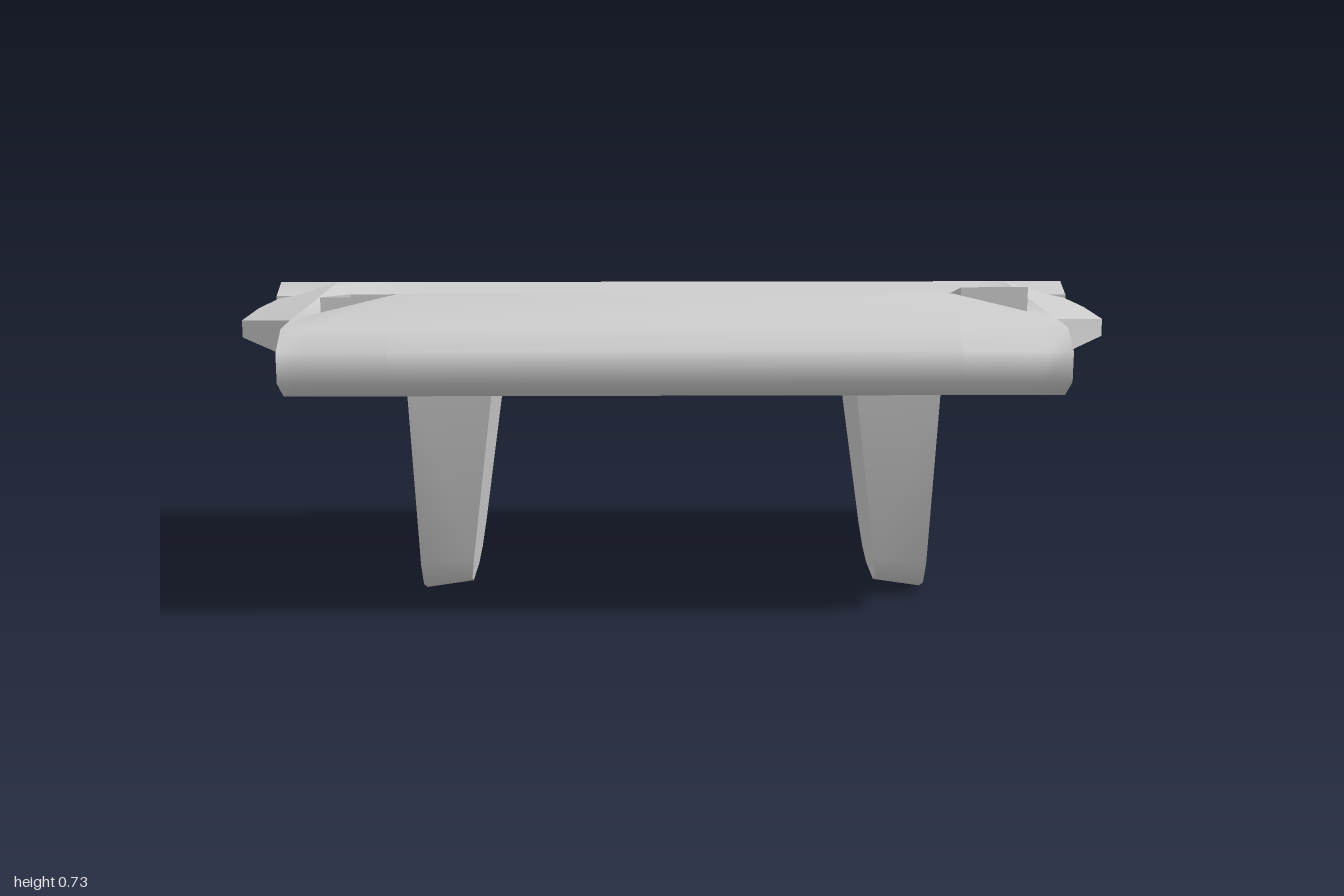
import * as THREE from 'three';
import { toCreasedNormals } from 'three/addons/utils/BufferGeometryUtils.js';

const grey = new THREE.MeshStandardMaterial({ color: 0xcccccc });
const greyOpen = new THREE.MeshStandardMaterial({ color: 0xcccccc, side: THREE.DoubleSide });

// Skin a row of closed rings of [x, y, z]; u and v are the axes the end caps are flattened to.
function loft(rings, { u = 2, v = 1, caps = true, mirror = false, crease = 0.6 } = {}) {
  const pos = [];
  const tri = (a, b, c) => {
    for (const p of mirror ? [a, c, b] : [a, b, c]) pos.push(mirror ? -p[0] : p[0], p[1], p[2]);
  };
  for (let i = 0; i < rings.length - 1; i++) {
    const r = rings[i], s = rings[i + 1], n = r.length;
    for (let j = 0; j < n; j++) {
      const k = (j + 1) % n;
      tri(r[j], s[j], s[k]);
      tri(r[j], s[k], r[k]);
    }
  }
  if (caps) {
    const cap = (ring, flip) => {
      const flat = ring.map((p) => new THREE.Vector2(p[u], p[v]));
      for (const [a, b, c] of THREE.ShapeUtils.triangulateShape(flat, [])) {
        if (flip) tri(ring[a], ring[c], ring[b]);
        else tri(ring[a], ring[b], ring[c]);
      }
    };
    cap(rings[0], false);
    cap(rings[rings.length - 1], true);
  }
  const geometry = new THREE.BufferGeometry();
  geometry.setAttribute('position', new THREE.Float32BufferAttribute(pos, 3));
  return toCreasedNormals(geometry, crease);
}

// Board section at x: rounded front edge, raised ridge, shallow dip behind it
function boardRing(x, ridge, dip) {
  return [
    [-0.365, 0.515], [0.365, 0.515], [0.43, 0.555], [0.43, 0.62], [0.365, 0.66],
    [0.25, ridge], [-0.05, dip], [-0.25, dip], [-0.365, 0.66],
  ].map(([z, y]) => [x, y, z]);
}

// Bar section along the back edge
function barRing(x) {
  return [
    [-0.365, 0.515], [-0.3, 0.555], [-0.3, 0.635], [-0.365, 0.66], [-0.427, 0.625], [-0.427, 0.553],
  ].map(([z, y]) => [x, y, z]);
}

// Leg: a tapered cup, open on its outer side, its foot rising a little inwards
const legOuter = [
  [-0.08, 0], [0.06, 0], [0.12, 0.025], [0.15, 0.08], [0.21, 0.52],
  [-0.235, 0.52], [-0.175, 0.08], [-0.145, 0.025],
];
const legInner = [
  [-0.065, 0.028], [0.04, 0.028], [0.1, 0.05], [0.13, 0.11], [0.187, 0.52],
  [-0.21, 0.52], [-0.155, 0.11], [-0.12, 0.05],
];
function legGeometry(mirror) {
  const rim = (y) => 0.575 + 0.03 * y;
  const back = (y) => 0.467 - 0.13 * y;
  const ring = (outline, x, lift = 0) =>
    outline.map(([z, y]) => [x(y), y + lift * (1 - y / 0.52), z]);
  return loft([
    ring(legOuter, back, 0.016), ring(legOuter, rim), ring(legInner, rim),
    ring(legInner, (y) => back(y) + 0.02, 0.005),
  ], { mirror, crease: 0.75 });
}

// Sloping wing: [x, z, top height]
const wingOutline = [
  [0.83, -0.365, 0.66], [0.96, -0.31, 0.63], [1, -0.23, 0.615], [1, -0.04, 0.615], [0.83, 0.25, 0.66],
];
function wingGeometry(mirror) {
  return loft([
    wingOutline.map(([x, z]) => [x, 0.575, z]),
    wingOutline.map(([x, z, y]) => [x, y, z]),
  ], { u: 0, v: 2, mirror });
}

// Open tray on the board with a rim sloping down to the back
function trayGeometry(mirror, yBack, yFront) {
  const corners = [[0.62, -0.15, yBack], [0.765, -0.15, yBack], [0.765, 0.25, yFront], [0.62, 0.25, yFront]];
  return loft([
    corners.map(([x, z]) => [x, 0.6, z]),
    corners.map(([x, z, y]) => [x, y, z]),
  ], { caps: false, mirror });
}

export function createModel() {
  const model = new THREE.Group();
  model.name = 'bench';
  const add = (name, geometry, material = grey) => {
    const mesh = new THREE.Mesh(geometry, material);
    mesh.name = name;
    model.add(mesh);
  };

  // Board dips between the trays and is level at its ends
  add('board', loft([
    boardRing(-0.83, 0.662, 0.66), boardRing(-0.77, 0.676, 0.632), boardRing(-0.6, 0.717, 0.632),
    boardRing(0.6, 0.717, 0.632), boardRing(0.77, 0.676, 0.632), boardRing(0.83, 0.662, 0.66),
  ], { crease: 1.1 }));
  // A bar wider than the board closes the back edge
  add('backBar', loft([barRing(-0.97), barRing(0.97)], { crease: 1.2 }));

  for (const [side, mirror] of [['left', false], ['right', true]]) {
    add(side + 'Wing', wingGeometry(mirror));
    add(side + 'Leg', legGeometry(mirror));
  }
  add('leftTray', trayGeometry(false, 0.638, 0.73), greyOpen);
  add('rightTray', trayGeometry(true, 0.66, 0.71), greyOpen);
  return model;
}
